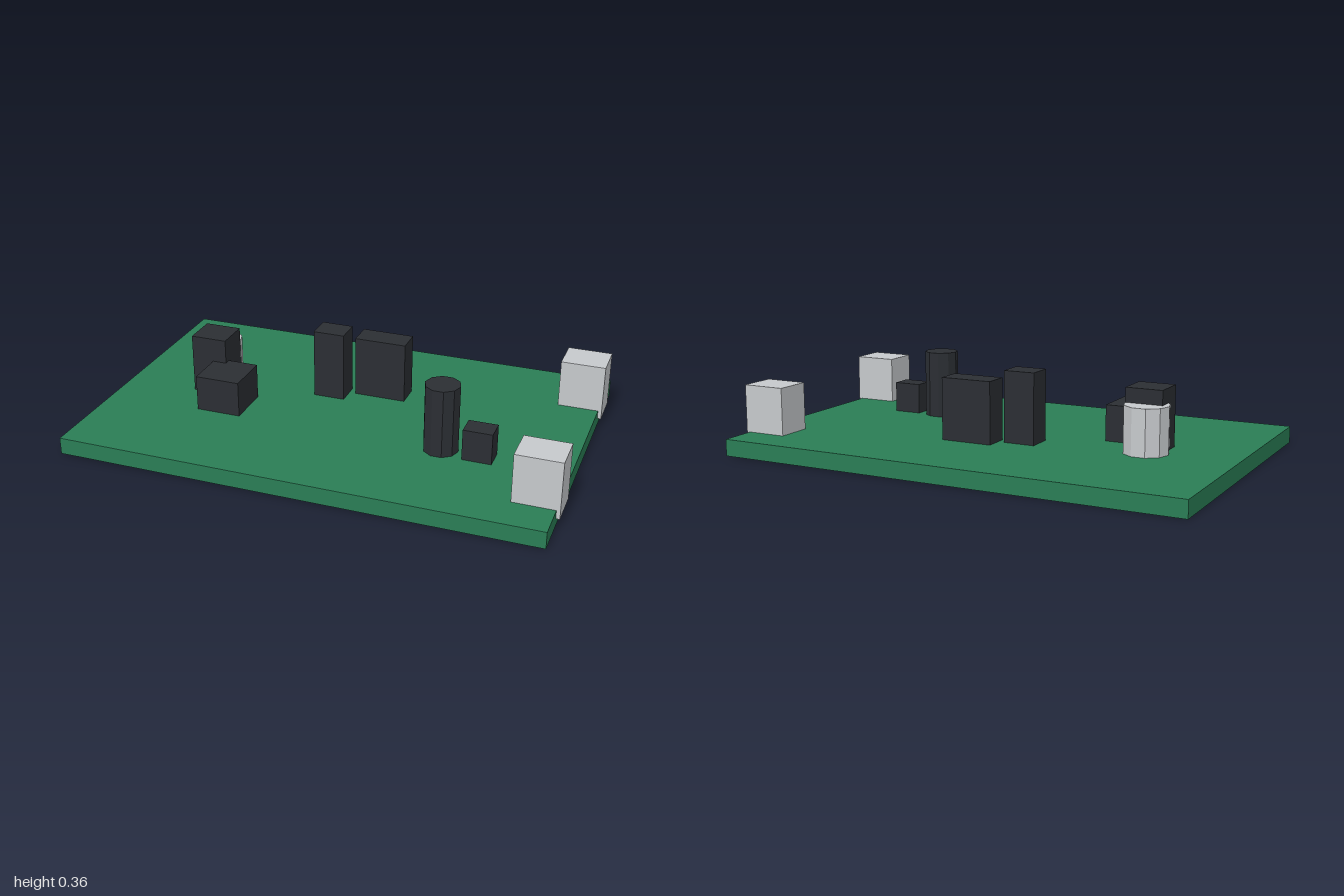
import * as THREE from 'three';

const BOARD_TOP = 0.07;

export function createModel() {
  const model = new THREE.Group();
  const material = (color) => new THREE.MeshStandardMaterial({ color, flatShading: true });
  const green = material(0x2a7d55);
  const dark = material(0x2b2e33);
  const metal = material(0xc6c9cc);

  function add(name, geometry, mat, x, y, z) {
    const mesh = new THREE.Mesh(geometry, mat);
    mesh.name = name;
    mesh.position.set(x, y, z);
    model.add(mesh);
  }

  // Box given by its extents on each axis
  function block(name, mat, [x0, x1], [y0, y1], [z0, z1]) {
    add(name, new THREE.BoxGeometry(x1 - x0, y1 - y0, z1 - z0), mat,
      (x0 + x1) / 2, (y0 + y1) / 2, (z0 + z1) / 2);
  }

  // Ten-sided can standing on the board, with corners on the x axis
  function can(name, mat, radius, top, x, z) {
    const height = top - BOARD_TOP;
    const geometry = new THREE.CylinderGeometry(radius, radius, height, 10, 1, false, Math.PI / 2);
    add(name, geometry, mat, x, BOARD_TOP + height / 2, z);
  }

  // Circuit board
  block('board', green, [-1, 0.985], [0, BOARD_TOP], [-0.65, 0.65]);

  // Pair of connectors overhanging the board's edge
  block('leftConnectorFront', metal, [0.815, 1], [0.035, 0.27], [0.34, 0.495]);
  block('leftConnectorBack', metal, [0.815, 1], [0.035, 0.27], [-0.495, -0.34]);

  // Dark chips: x range, top height, z range
  const chips = [
    [[-0.69, -0.535], 0.322, [-0.083, 0.063]],
    [[-0.595, -0.405], 0.22, [0.033, 0.225]],
    [[-0.185, -0.052], 0.365, [-0.18, -0.07]],
    [[-0.025, 0.195], 0.328, [-0.25, -0.142]],
    [[0.56, 0.68], 0.2, [0.165, 0.255]],
  ];
  chips.forEach(([x, top, z], i) => block(`chip${i + 1}`, dark, x, [BOARD_TOP, top], z));

  // Capacitors
  can('darkCapacitor', dark, 0.072, 0.355, 0.46, 0.2);
  can('metalCapacitor', metal, 0.093, 0.262, -0.627, -0.085);

  return model;
}
